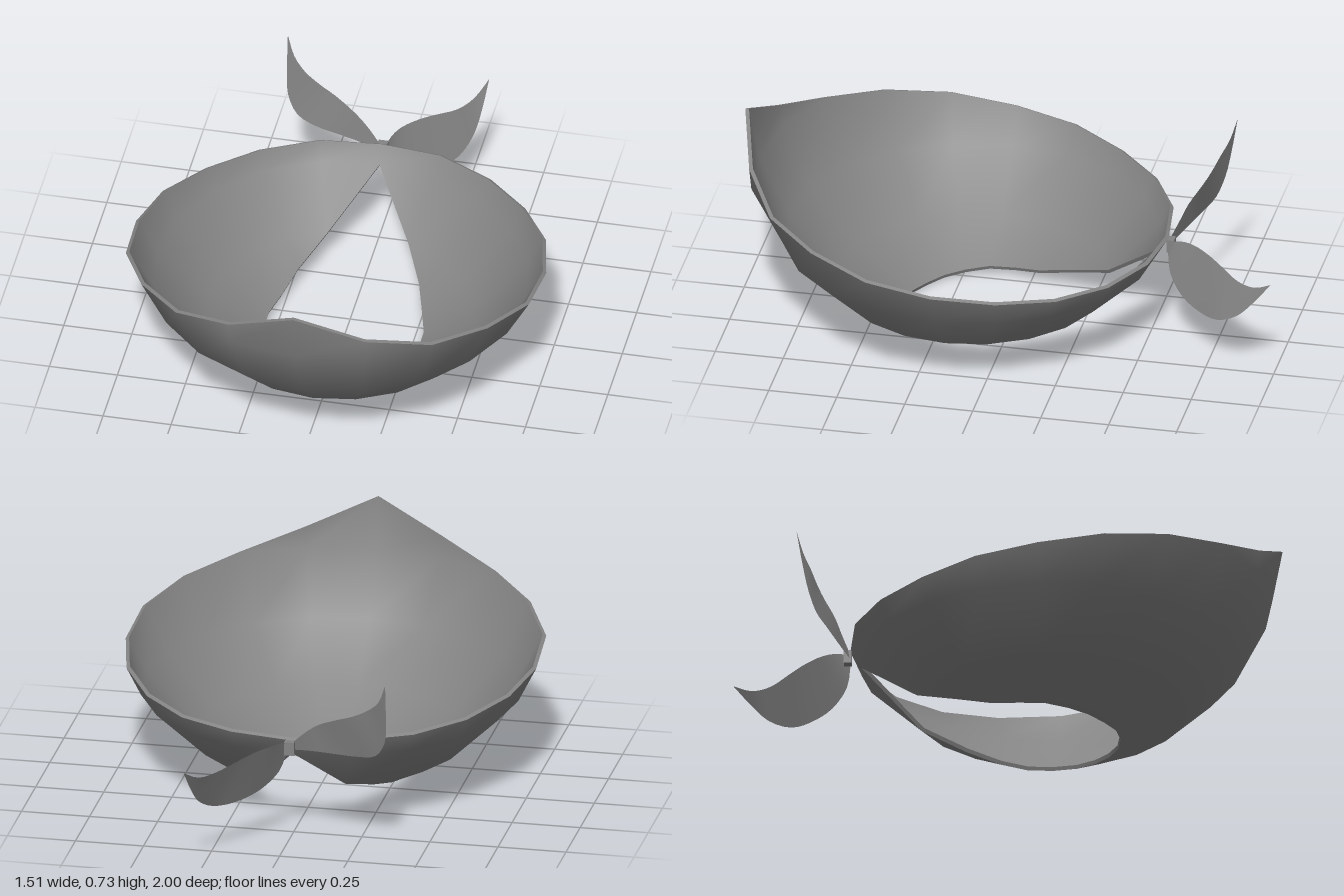
import * as THREE from 'three';
import { toCreasedNormals } from 'three/addons/utils/BufferGeometryUtils.js';

const cloth = new THREE.MeshStandardMaterial({ color: 0x848484, side: THREE.DoubleSide });

// Builds an indexed surface from rows of points; optionally closed both ways.
function gridGeometry(rows, closed) {
  const n = rows.length, m = rows[0].length, index = [];
  for (let i = 0; i < (closed ? n : n - 1); i++) {
    for (let j = 0; j < (closed ? m : m - 1); j++) {
      const i2 = (i + 1) % n, j2 = (j + 1) % m;
      const a = i * m + j, b = i * m + j2, c = i2 * m + j, d = i2 * m + j2;
      index.push(a, b, c, c, b, d);
    }
  }
  const g = new THREE.BufferGeometry().setFromPoints(rows.flat());
  g.setIndex(index);
  g.computeVertexNormals();
  return g;
}

// Cloth: a 20-sided bowl of revolution, cut by a wavy rim and a teardrop opening.
// Half outlines run from the back (0) to the front (10) in steps of 18 degrees.
const CENTRE_Z = 0.157, THICK = 0.014;
const rim = [[0.718, 0.375], [0.724, 0.38], [0.724, 0.38], [0.726, 0.39], [0.74, 0.415], [0.754, 0.44],
  [0.779, 0.475], [0.787, 0.515], [0.801, 0.55], [0.811, 0.62], [0.839, 0.73]];
const hole = [[0.678, 0.31], [0.494, 0.125], [0.384, 0.07], [0.324, 0.035], [0.304, 0.022], [0.289, 0.018],
  [0.272, 0.01], [0.26, 0.005], [0.253, 0], [0.256, 0], [0.256, 0]];
const levels = [[0.494, 0.125], [0.688, 0.31], [0.803, 0.54]];

function clothGeometry() {
  const rows = [];
  for (let i = 0; i < 20; i++) {
    const k = i <= 10 ? i : 20 - i, angle = i * Math.PI / 10;
    const low = hole[k], high = rim[k];
    const mid = levels.map(p => (p[1] <= low[1] ? low : p[1] >= high[1] - 0.02 ? high : p));
    const outer = [low, ...mid, high];
    // inner face, moved toward the middle of the bowl
    const inner = outer.map(([r, y]) => {
      const len = Math.hypot(r, 0.8 - y);
      return [r - THICK * r / len, y + THICK * (0.8 - y) / len];
    }).reverse();
    rows.push([...outer, ...inner].map(([r, y]) =>
      new THREE.Vector3(r * Math.sin(angle), y, CENTRE_Z - r * Math.cos(angle))));
  }
  return toCreasedNormals(gridGeometry(rows, true), 0.75);
}

// Knot tail: a thin leaf between two curved edges that meet in a point.
function tailGeometry(upper, lower) {
  const [a, b] = [upper, lower].map(e =>
    new THREE.CatmullRomCurve3(e.map(p => new THREE.Vector3(...p))));
  const rows = [];
  for (let i = 0; i <= 21; i++) {
    const p = a.getPoint(i / 21), q = b.getPoint(i / 21);
    rows.push([p, p.clone().lerp(q, 0.5), q]);
  }
  return gridGeometry(rows, false);
}

export function createModel() {
  const model = new THREE.Group();
  model.name = 'neckerchief';
  const add = (name, geometry) => {
    const mesh = new THREE.Mesh(geometry, cloth);
    mesh.name = name;
    model.add(mesh);
    return mesh;
  };

  add('cloth', clothGeometry());

  // Knot at the back
  const knot = add('knot', new THREE.BoxGeometry(0.036, 0.05, 0.028));
  knot.position.set(0, 0.35, -0.57);

  // Left tail, trailing backward
  add('leftTail', tailGeometry(
    [[0.01, 0.365, -0.56], [0.025, 0.38, -0.61], [0.05, 0.385, -0.66], [0.1, 0.38, -0.725],
      [0.15, 0.365, -0.785], [0.215, 0.345, -0.86], [0.26, 0.35, -0.93], [0.3, 0.39, -1]],
    [[0.01, 0.335, -0.56], [0.04, 0.255, -0.575], [0.1, 0.2, -0.63], [0.175, 0.18, -0.715],
      [0.235, 0.19, -0.79], [0.272, 0.235, -0.87], [0.288, 0.3, -0.93], [0.3, 0.39, -1]]));

  // Right tail, sweeping sideways and up
  add('rightTail', tailGeometry(
    [[-0.01, 0.37, -0.565], [-0.06, 0.42, -0.59], [-0.11, 0.46, -0.61], [-0.19, 0.5, -0.645],
      [-0.25, 0.525, -0.665], [-0.31, 0.56, -0.685], [-0.355, 0.605, -0.71], [-0.384, 0.68, -0.733]],
    [[-0.01, 0.34, -0.56], [-0.08, 0.35, -0.585], [-0.17, 0.355, -0.61], [-0.26, 0.36, -0.635],
      [-0.335, 0.38, -0.665], [-0.374, 0.445, -0.69], [-0.382, 0.54, -0.71], [-0.384, 0.68, -0.733]]));

  return model;
}
